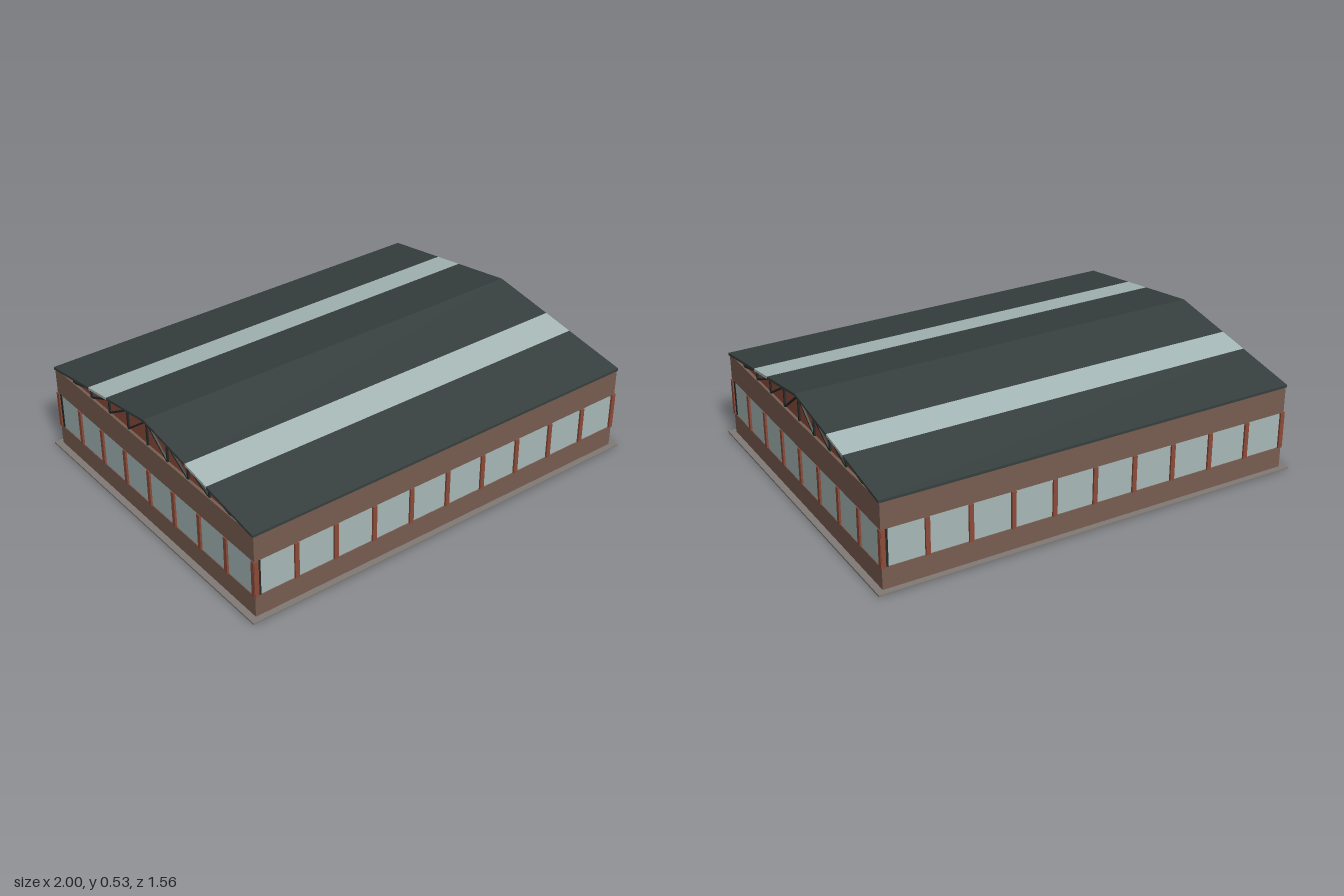
import * as THREE from 'three';

const paint = (name, color) => {
  const m = new THREE.MeshStandardMaterial({ color });
  m.name = name;
  return m;
};

export function createModel() {
  const brick = paint('brownBrick', 0x785d51);
  const rust = paint('rustRed', 0x8c4b39);
  const steel = paint('darkSteel', 0x222a29);
  const roofing = paint('roofSheet', 0x37403f);
  const glass = paint('paleGlass', 0xa7b9b8);
  const concrete = paint('concrete', 0x817b77);

  const model = new THREE.Group();
  model.name = 'hall';
  const HX = 0.97, HZ = 0.755;             // wall half sizes
  const SILL = 0.105, HEAD = 0.275, TOP = 0.4;

  const box = (parent, name, mat, w, h, d, x, y, z) => {
    const mesh = new THREE.Mesh(new THREE.BoxGeometry(w, h, d), mat);
    mesh.name = name;
    mesh.position.set(x, y, z);
    parent.add(mesh);
    return mesh;
  };
  const band = (name, mat, y0, y1, inset) =>
    box(model, name, mat, 2 * (HX - inset), y1 - y0, 2 * (HZ - inset), 0, (y0 + y1) / 2, 0);

  // Profile given as [z, y] points, run along x and centred
  const profile = (name, mat, points, length) => {
    const shape = new THREE.Shape(points.map(([z, y]) => new THREE.Vector2(-z, y)));
    const geo = new THREE.ExtrudeGeometry(shape, { depth: length, bevelEnabled: false });
    geo.translate(0, 0, -length / 2).rotateY(Math.PI / 2);
    const mesh = new THREE.Mesh(geo, mat);
    mesh.name = name;
    model.add(mesh);
  };

  // Floor slab, wall bands and the continuous glazing between them
  box(model, 'floorSlab', concrete, 2, 0.008, 1.564, 0, 0.004, 0);
  band('lowerWall', brick, 0.008, SILL, 0);
  band('upperWall', brick, HEAD, TOP, 0);
  band('windowGlass', glass, SILL, HEAD, 0.004);

  // Window posts, repeated on all four sides
  const addPosts = (name, half, dist, bays, turn) => {
    const side = new THREE.Group();
    side.name = name;
    side.rotation.y = turn * Math.PI / 2;
    const h = HEAD - SILL, y = (HEAD + SILL) / 2, end = half - 0.007;
    for (let i = 0; i <= bays; i++) {
      box(side, 'windowPost', rust, 0.02, h, 0.014, -end + (2 * end * i) / bays, y, dist - 0.002);
    }
    box(side, 'cornerStrip', steel, 0.014, h, 0.006, -end + 0.016, y, dist - 0.004);
    model.add(side);
  };
  addPosts('frontPosts', HX, HZ, 10, 0);
  addPosts('rightPosts', HZ, HX, 8, 1);
  addPosts('backPosts', HX, HZ, 10, 2);
  addPosts('leftPosts', HZ, HX, 8, 3);

  // Roof sheets with a skylight strip on each slope
  const roofY = z => 0.527 - 0.159 * Math.abs(z);
  const T = 0.012;
  const strips = [
    ['upperRoof', roofing, 0, 0.3],
    ['skylight', glass, 0.3, 0.45],
    ['lowerRoof', roofing, 0.45, 0.757],
  ];
  for (const s of [1, -1]) {
    for (const [name, mat, a, b] of strips) {
      profile(name, mat, [
        [s * a, roofY(a)], [s * b, roofY(b)], [s * b, roofY(b) - T], [s * a, roofY(a) - T],
      ], 1.95);
    }
  }

  // Gable infill
  profile('gable', rust, [[-0.75, TOP - 0.01], [0.75, TOP - 0.01], [0, roofY(0) - T / 2]], 1.915);

  // Steel trusses on both gables
  for (const s of [1, -1]) {
    const truss = new THREE.Group();
    truss.name = 'truss';
    const bar = (z0, y0, z1, y1, t = 0.008) => {
      const b = box(truss, 'trussBar', steel, 0.009, t, Math.hypot(z1 - z0, y1 - y0),
        s * 0.961, (y0 + y1) / 2, (z0 + z1) / 2);
      b.rotation.x = -Math.atan2(y1 - y0, z1 - z0);
    };
    const chord = z => roofY(z) - T - 0.001;
    bar(0, TOP, 0, chord(0));
    for (const k of [1, -1]) {
      bar(0, chord(0), k * 0.74, chord(0.74), 0.006);
      for (let i = 0; i < 4; i++) {
        const a = i * 0.15, b = a + 0.15;
        bar(k * b, TOP, k * b, chord(b));
        bar(k * a, chord(a), k * b, TOP);
      }
    }
    model.add(truss);
  }

  return model;
}
